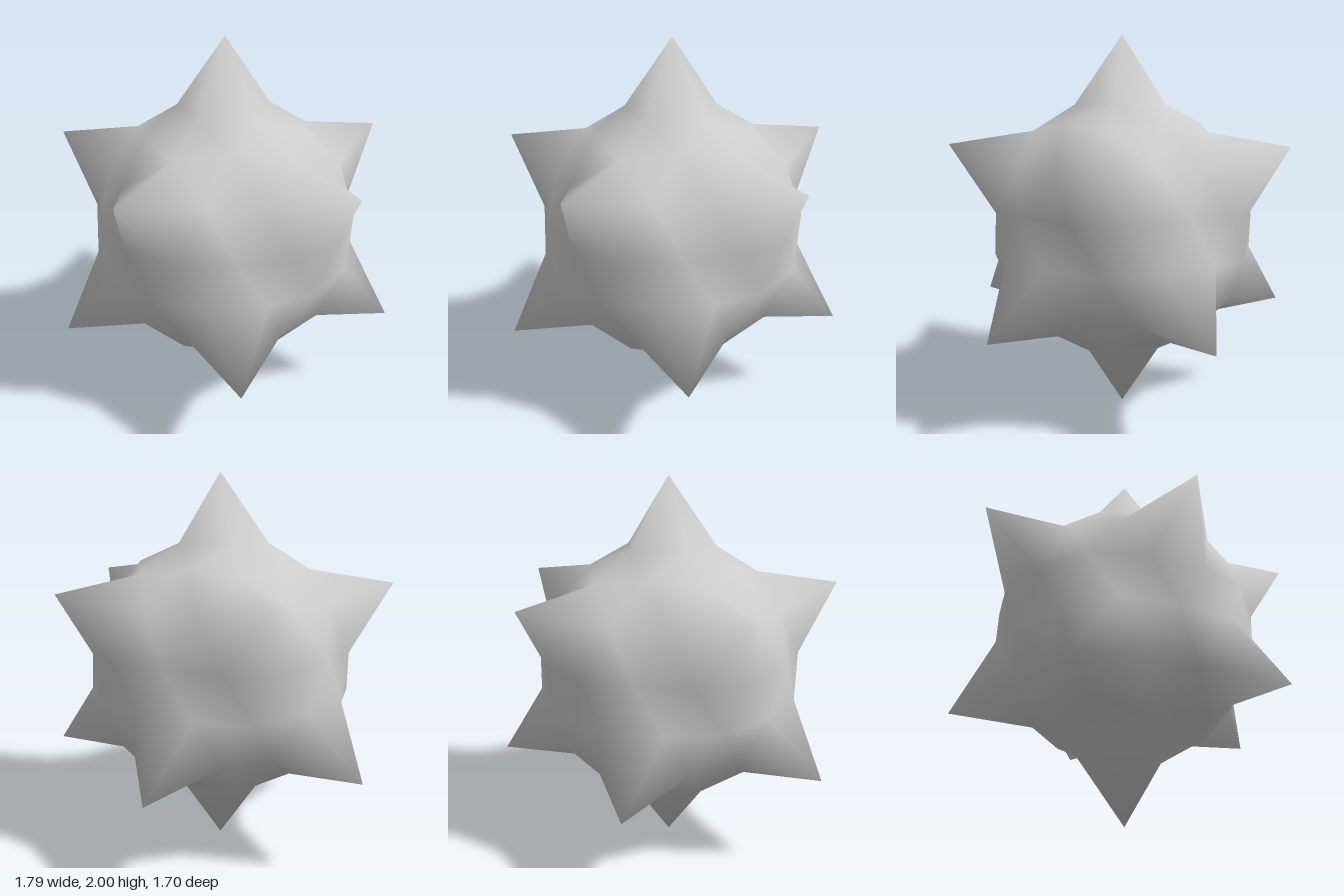
import * as THREE from 'three';
import { mergeVertices } from 'three/addons/utils/BufferGeometryUtils.js';

const BODY_RADIUS = 0.692;

// The 20 faces of a unit icosahedron standing on a corner, wound outward
function icosahedronFaces() {
  const h = 1 / Math.sqrt(5), r = 2 * h;
  const corner = (deg, y) => {
    const a = THREE.MathUtils.degToRad(deg);
    return new THREE.Vector3(r * Math.cos(a), y, r * Math.sin(a));
  };
  const north = new THREE.Vector3(0, 1, 0), south = new THREE.Vector3(0, -1, 0);
  const upper = k => corner(72 * (k % 5), h);
  const lower = k => corner(36 + 72 * (k % 5), -h);
  const faces = [];
  for (let k = 0; k < 5; k++) {
    faces.push(
      [north, upper(k + 1), upper(k)],
      [upper(k), upper(k + 1), lower(k)],
      [lower(k), upper(k + 1), lower(k + 1)],
      [south, lower(k), lower(k + 1)]
    );
  }
  return faces;
}

// Point on the body a third of the way along the arc from a to b
function third(a, b) {
  const angle = a.angleTo(b);
  return a.clone().multiplyScalar(Math.sin(angle * 2 / 3))
    .addScaledVector(b, Math.sin(angle / 3))
    .setLength(BODY_RADIUS);
}

function spikedBallGeometry() {
  const positions = [];
  const triangle = (...points) => points.forEach(p => positions.push(p.x, p.y, p.z));

  for (const face of icosahedronFaces()) {
    const centre = face[0].clone().add(face[1]).add(face[2]).setLength(BODY_RADIUS);
    for (let i = 0; i < 3; i++) {
      const a = face[i], b = face[(i + 1) % 3], c = face[(i + 2) % 3];
      const ab = third(a, b), ba = third(b, a), ac = third(a, c);
      triangle(a, ab, ac);        // one side of a spike
      triangle(centre, ac, ab);   // body between the spikes
      triangle(centre, ab, ba);
    }
  }

  let geometry = new THREE.BufferGeometry();
  geometry.setAttribute('position', new THREE.Float32BufferAttribute(positions, 3));
  geometry = mergeVertices(geometry, 1e-4);
  geometry.computeVertexNormals();
  return geometry;
}

export function createModel() {
  const group = new THREE.Group();
  group.name = 'spikedBall';

  // Round body with twelve five-sided spikes, smoothly shaded as one skin
  const ball = new THREE.Mesh(
    spikedBallGeometry(),
    new THREE.MeshStandardMaterial({ color: 0xcccccc })
  );
  ball.name = 'bodyWithSpikes';
  ball.position.y = 1;
  group.add(ball);
  return group;
}
